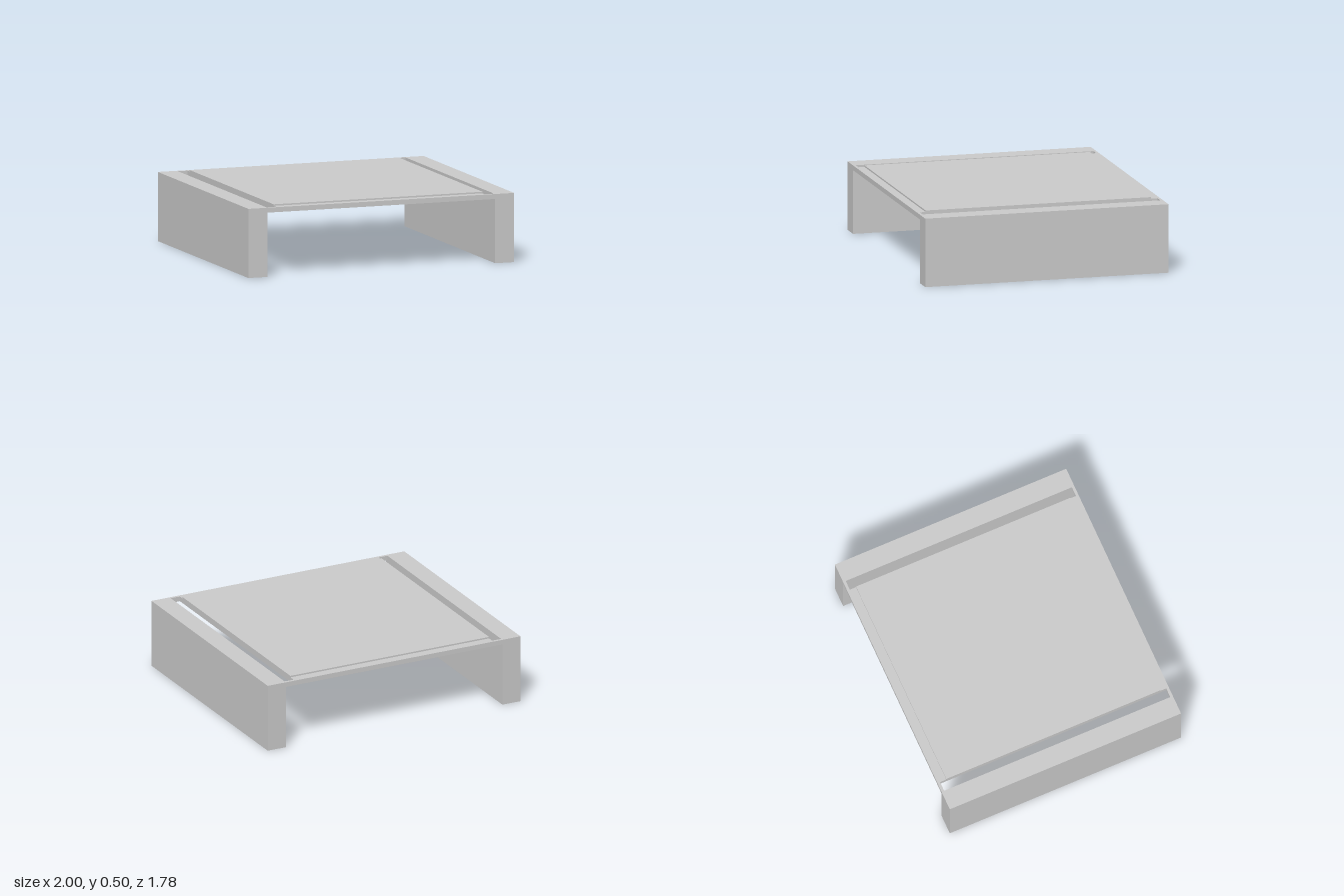
import * as THREE from 'three';

const HALF_DEPTH = 0.888; // half of the overall depth
const LEG_INNER = 0.857;  // inner face of each side leg
const DECK_TOP = 0.492;
const DECK_BOTTOM = 0.457;

const material = new THREE.MeshStandardMaterial({ color: 0xcccccc, flatShading: true });

function addMesh(group, name, geometry) {
  const mesh = new THREE.Mesh(geometry, material);
  mesh.name = name;
  group.add(mesh);
  return mesh;
}

export function createModel() {
  const group = new THREE.Group();
  group.name = 'lowTable';

  // Solid slab legs on both sides
  for (const [side, name] of [[1, 'leftLeg'], [-1, 'rightLeg']]) {
    const width = 1 - LEG_INNER;
    const leg = addMesh(group, name, new THREE.BoxGeometry(width, DECK_TOP, HALF_DEPTH * 2));
    leg.position.set(side * (LEG_INNER + width / 2), DECK_TOP / 2, 0);
  }

  // Deck: I-shaped plate, leaving a long slot beside each leg and thin bridges at the ends
  const plateX = 0.786, slotZ = 0.868;
  const quarter = [[plateX, slotZ], [LEG_INNER, slotZ], [LEG_INNER, HALF_DEPTH]];
  const mirror = (points, sx, sz) => points.map(([x, z]) => new THREE.Vector2(x * sx, z * sz));
  const outline = new THREE.Shape([
    ...mirror(quarter, 1, 1),
    ...mirror(quarter, -1, 1).reverse(),
    ...mirror(quarter, -1, -1),
    ...mirror(quarter, 1, -1).reverse(),
  ]);
  const deckGeometry = new THREE.ExtrudeGeometry(outline, {
    depth: DECK_TOP - DECK_BOTTOM, bevelEnabled: false,
  });
  deckGeometry.rotateX(-Math.PI / 2);
  addMesh(group, 'deck', deckGeometry).position.y = DECK_BOTTOM;

  // Slightly raised top panel, set back from the front and back edges
  const panelHeight = 0.011;
  const panel = addMesh(group, 'topPanel', new THREE.BoxGeometry(plateX * 2, panelHeight, 1.645));
  panel.position.set(0, DECK_TOP + panelHeight / 2, 0.002);

  return group;
}
